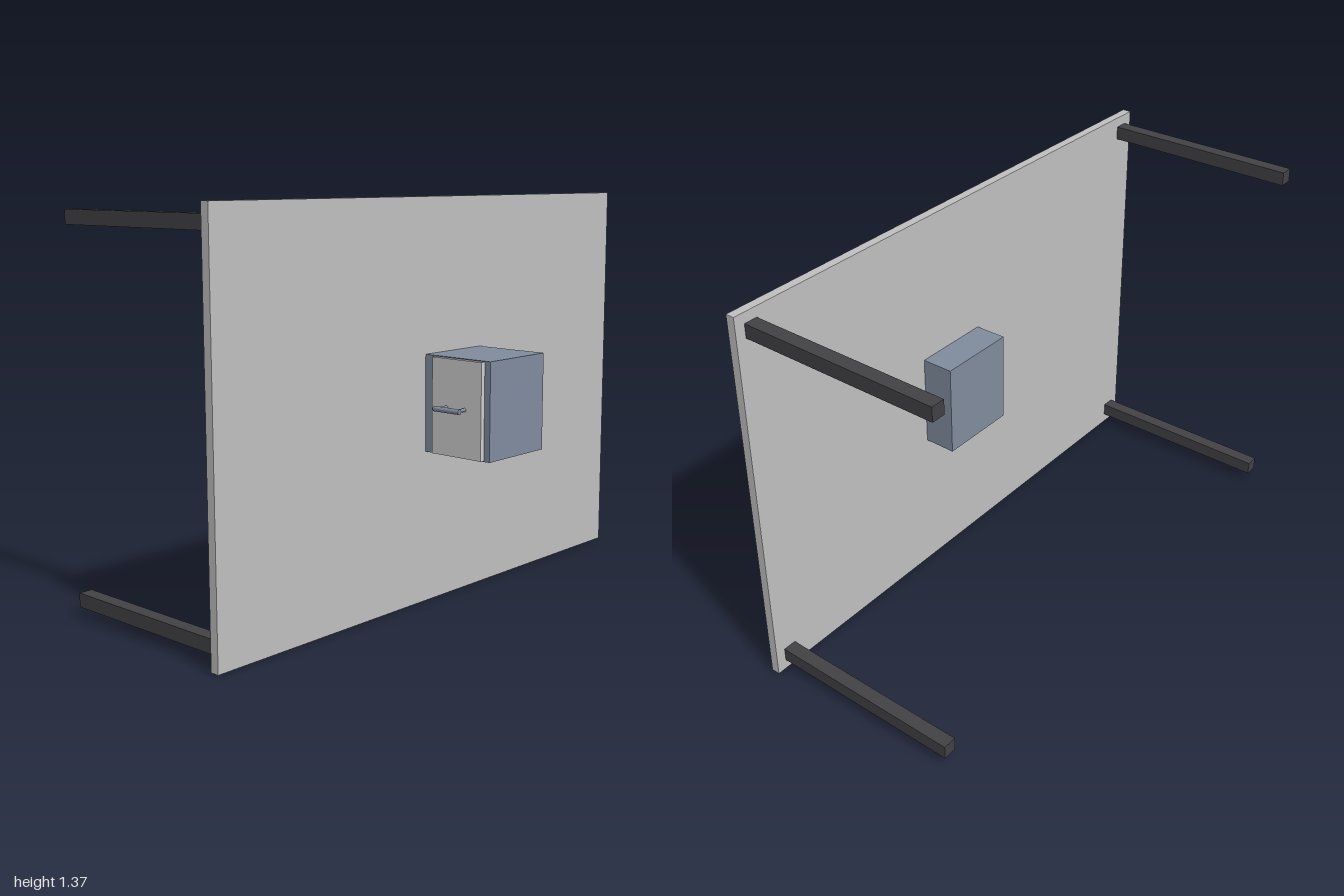
import * as THREE from 'three';

const mat = (name, color) => Object.assign(new THREE.MeshStandardMaterial({ color }), { name });

export function createModel() {
  const grey = mat('top grey', 0xc0c0c0);
  const blue = mat('slate blue', 0x808c9e);
  const dark = mat('leg charcoal', 0x424245);
  const pale = mat('drawer front grey', 0xcfcfcf);
  const group = new THREE.Group();
  group.name = 'table';

  // Box given by its min and max corners
  const box = (name, material, [x0, y0, z0], [x1, y1, z1]) => {
    const mesh = new THREE.Mesh(new THREE.BoxGeometry(x1 - x0, y1 - y0, z1 - z0), material);
    mesh.position.set((x0 + x1) / 2, (y0 + y1) / 2, (z0 + z1) / 2);
    mesh.name = name;
    group.add(mesh);
  };

  // Table top standing on its long edge, with four legs pointing back
  box('tableTop', grey, [-1, 0, 0.198], [1, 1.368, 0.229]);
  for (const x of [-0.94, 0.94])
    for (const y of [0.06, 1.308])
      box('leg', dark, [x - 0.024, y - 0.024, -0.5], [x + 0.024, y + 0.024, 0.198]);

  // Cabinet passing through the top, with a thin drawer front on its right side
  box('cabinet', blue, [-0.074, 0.521, 0.083], [0.215, 0.85, 0.5]);
  box('drawerFront', pale, [-0.091, 0.524, 0.272], [-0.074, 0.847, 0.477]);

  // Bar handle on two posts
  const rod = (name, radius, length, x, z, axis) => {
    const geometry = new THREE.CylinderGeometry(radius, radius, length, 16);
    if (axis === 'x') geometry.rotateZ(Math.PI / 2);
    else geometry.rotateX(Math.PI / 2);
    const mesh = new THREE.Mesh(geometry, blue);
    mesh.position.set(x, 0.686, z);
    mesh.name = name;
    group.add(mesh);
  };
  rod('handleBar', 0.009, 0.106, -0.136, 0.372, 'z');
  for (const z of [0.334, 0.41]) rod('handlePost', 0.006, 0.045, -0.1135, z, 'x');

  return group;
}
